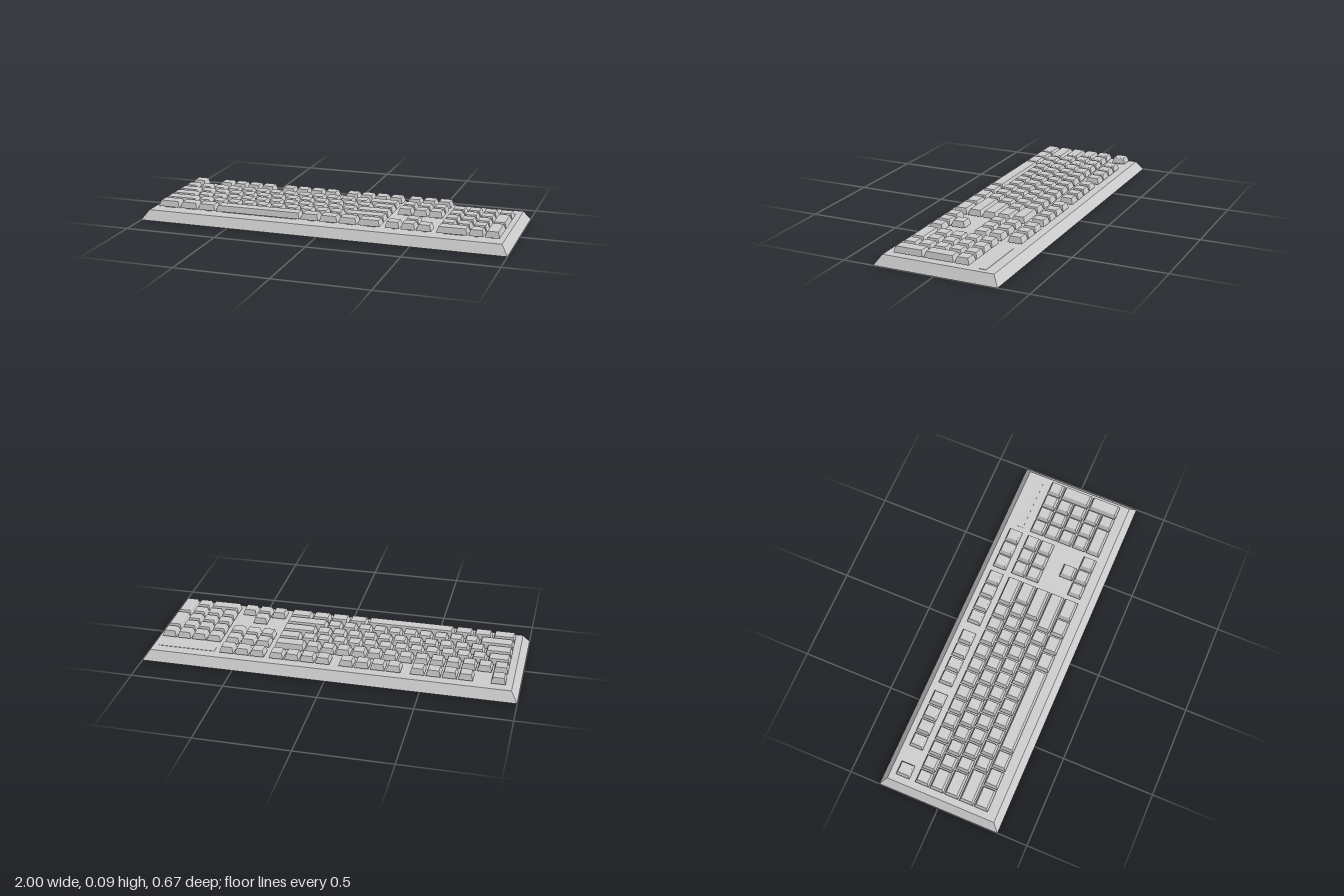
import * as THREE from 'three';

const material = new THREE.MeshStandardMaterial({ color: 0xcccccc, flatShading: true });
const UNIT = 0.0836; // spacing of one key
const GAP = 0.008; // space between neighbouring keys
const LEFT = -0.934; // x where the key grid starts
const ROW_Z = [-0.229, -0.12, -0.037, 0.046, 0.13, 0.213];

// Closed solid lofted through rectangles given as [y, width, depth], bottom to top
function rectLoft(sections) {
  const pos = [];
  const index = [];
  for (const [y, w, d] of sections) {
    for (const [sx, sz] of [[-1, 1], [1, 1], [1, -1], [-1, -1]]) pos.push(sx * w / 2, y, sz * d / 2);
  }
  for (let s = 0; s < sections.length - 1; s++) {
    for (let i = 0; i < 4; i++) {
      const a = s * 4 + i;
      const b = s * 4 + (i + 1) % 4;
      index.push(a, b, b + 4, a, b + 4, a + 4);
    }
  }
  const t = (sections.length - 1) * 4;
  index.push(0, 2, 1, 0, 3, 2, t, t + 1, t + 2, t, t + 2, t + 3);
  const indexed = new THREE.BufferGeometry();
  indexed.setAttribute('position', new THREE.Float32BufferAttribute(pos, 3));
  indexed.setIndex(index);
  const geometry = indexed.toNonIndexed();
  geometry.computeVertexNormals();
  return geometry;
}

function addMesh(parent, name, geometry, x = 0, y = 0, z = 0) {
  const mesh = new THREE.Mesh(geometry, material);
  mesh.name = name;
  mesh.position.set(x, y, z);
  parent.add(mesh);
}

// One key: tapered cap on a narrow stem; u is the left edge in key units
function addKey(parent, name, u, row, width = 1, rows = 1) {
  const w = width * UNIT - GAP;
  const d = rows * UNIT - GAP;
  const x = LEFT + (u + width / 2) * UNIT;
  const z = (ROW_Z[row] + ROW_Z[row + rows - 1]) / 2;
  const key = new THREE.Group();
  key.name = name;
  key.position.set(x, 0, z);
  addMesh(key, 'keyCap', rectLoft([
    [0.062, w, d],
    [0.065, w, d],
    [0.09, w - 0.015, d - 0.015],
    [0.0935, w - 0.018, d - 0.018],
    [0.095, w - 0.023, d - 0.023],
  ]));
  addMesh(key, 'keyStem', new THREE.BoxGeometry(w - 0.057, 0.016, d - 0.057), 0, 0.056, 0);
  parent.add(key);
}

// A run of keys placed side by side
function addRun(parent, name, u, row, widths) {
  for (const width of widths) {
    addKey(parent, name, u, row, width);
    u += width;
  }
}

const ones = (n) => Array(n).fill(1);

function addGroup(parent, name) {
  const group = new THREE.Group();
  group.name = name;
  parent.add(group);
  return group;
}

export function createModel() {
  const model = new THREE.Group();
  model.name = 'keyboard';

  // Case with sloped sides
  addMesh(model, 'case', rectLoft([[0, 2, 0.67], [0.051, 1.93, 0.602]]));

  // Indicator strip above the number pad
  addMesh(model, 'indicatorStrip', new THREE.BoxGeometry(0.31, 0.004, 0.04), 0.78, 0.051, -0.225);

  // Top row
  const topRowKeys = addGroup(model, 'topRowKeys');
  addKey(topRowKeys, 'escapeKey', 0, 0);
  for (const u of [2, 6.5, 11]) addRun(topRowKeys, 'topRowKey', u, 0, ones(4));

  // Main typing block
  const mainKeys = addGroup(model, 'mainKeys');
  [
    [...ones(13), 2],
    [1.5, ...ones(12), 1.5],
    [1.75, ...ones(11), 2.25],
    [2.25, ...ones(10), 2.75],
    [1.5, 1.25, 1.25, 5.75, 1.25, 1.25, 1.25, 1.5],
  ].forEach((widths, i) => addRun(mainKeys, 'mainKey', 0, i + 1, widths));

  // Navigation and arrow keys
  const navigationKeys = addGroup(model, 'navigationKeys');
  for (const row of [0, 1, 2]) addRun(navigationKeys, 'navigationKey', 15.25, row, ones(3));
  addKey(navigationKeys, 'upArrowKey', 16.25, 4);
  addRun(navigationKeys, 'arrowKey', 15.25, 5, ones(3));

  // Number pad
  const numberPad = addGroup(model, 'numberPad');
  for (const row of [1, 2, 3, 4]) addRun(numberPad, 'numberPadKey', 18.5, row, ones(3));
  addRun(numberPad, 'numberPadKey', 18.5, 5, [2, 1]);
  addKey(numberPad, 'minusKey', 21.5, 1);
  addKey(numberPad, 'plusKey', 21.5, 2, 1, 2);
  addKey(numberPad, 'numberPadEnterKey', 21.5, 4, 1, 2);

  return model;
}
